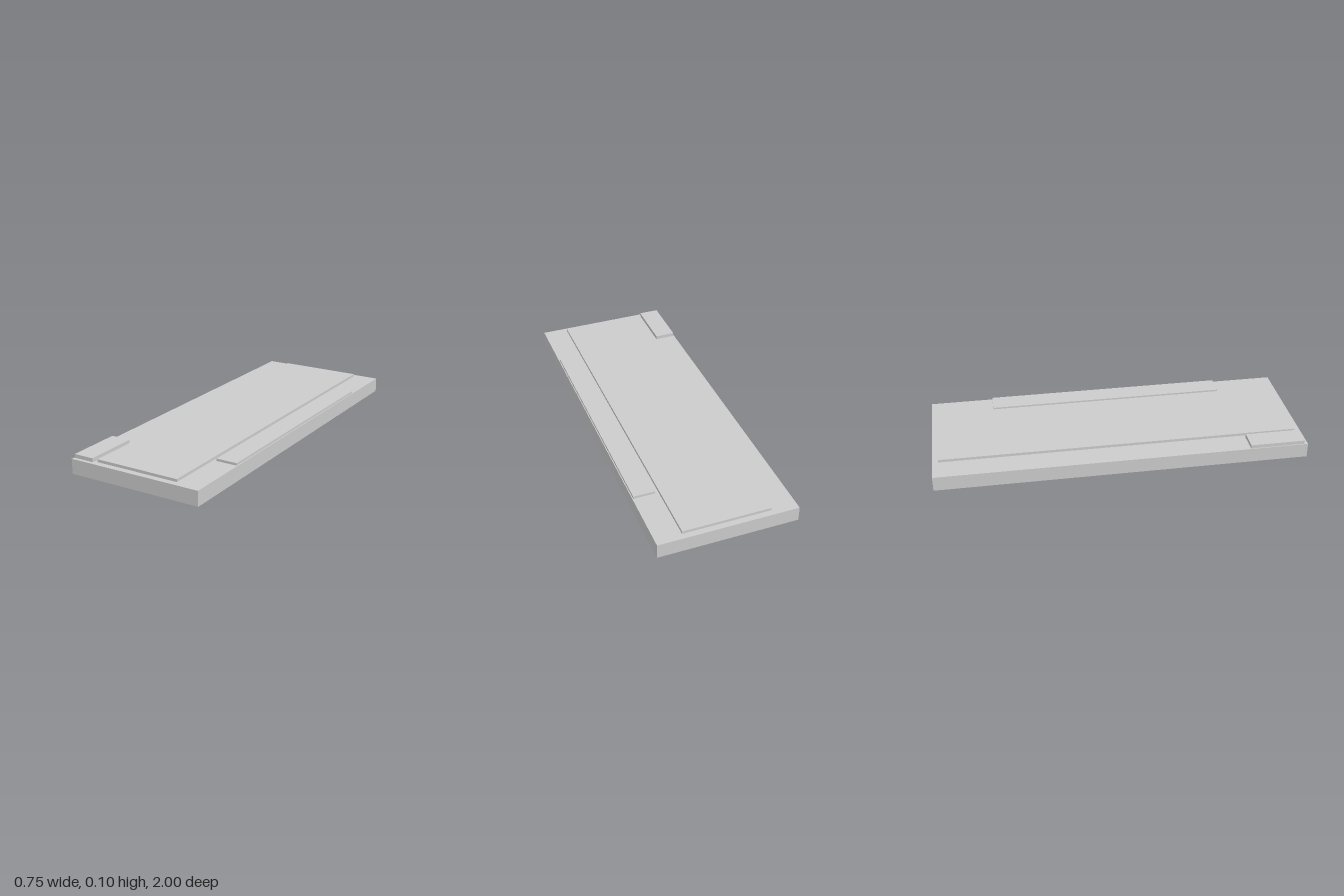
import * as THREE from 'three';

export function createModel() {
  const group = new THREE.Group();
  const material = new THREE.MeshStandardMaterial({ color: 0xcccccc, flatShading: true });

  // Box given by its minimum and maximum on each axis
  function slab(name, [x0, x1], [y0, y1], [z0, z1]) {
    const mesh = new THREE.Mesh(new THREE.BoxGeometry(x1 - x0, y1 - y0, z1 - z0), material);
    mesh.position.set((x0 + x1) / 2, (y0 + y1) / 2, (z0 + z1) / 2);
    mesh.name = name;
    group.add(mesh);
  }

  const top = 0.08;
  // Main body
  slab('base', [-0.373, 0.373], [0, top], [-1, 1]);
  // Raised plates resting on the body
  slab('centrePanel', [-0.236, 0.234], [top, 0.095], [-0.968, 0.968]);
  slab('leftStrip', [0.253, 0.368], [top, 0.093], [-0.653, 0.655]);
  slab('rightFrontBlock', [-0.368, -0.257], [top, 0.1], [0.685, 0.981]);

  return group;
}
